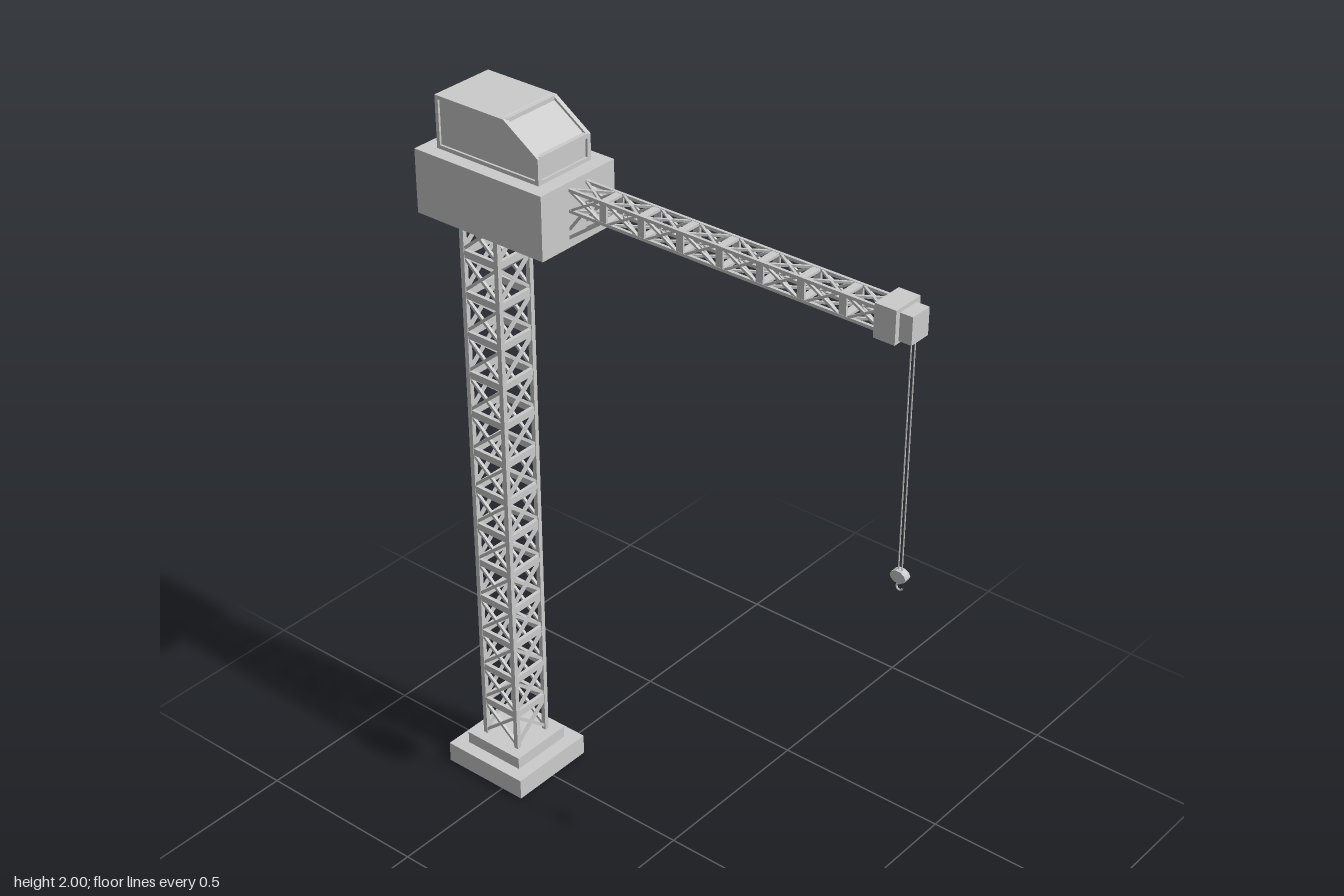
import * as THREE from 'three';
import { mergeGeometries } from 'three/addons/utils/BufferGeometryUtils.js';

const mat = new THREE.MeshStandardMaterial({ color: 0xcccccc, flatShading: true });
const V = (x, y, z) => new THREE.Vector3(x, y, z);

function add(parent, name, geo) {
  const m = new THREE.Mesh(geo, mat);
  m.name = name;
  parent.add(m);
  return m;
}

// box given by its minimum and maximum corners
function block(x0, x1, y0, y1, z0, z1) {
  return new THREE.BoxGeometry(x1 - x0, y1 - y0, z1 - z0)
    .translate((x0 + x1) / 2, (y0 + y1) / 2, (z0 + z1) / 2);
}

// square bar between two points
function bar(a, b, w, d = w) {
  const dir = b.clone().sub(a);
  const q = new THREE.Quaternion().setFromUnitVectors(V(0, 1, 0), dir.clone().normalize());
  return new THREE.BoxGeometry(w, dir.length(), d)
    .applyQuaternion(q).translate(...a.clone().add(b).multiplyScalar(0.5).toArray());
}

// four-sided truss standing on y = 0; hx and hz are its outer half widths
function lattice(name, length, bays, hx, hz, post, brace, band) {
  const g = new THREE.Group();
  g.name = name;
  const posts = [], bands = [], braces = [];
  const pitch = length / bays, cx = hx - post / 2, cz = hz - post / 2;
  for (const sx of [-1, 1]) for (const sz of [-1, 1])
    posts.push(bar(V(sx * cx, 0, sz * cz), V(sx * cx, length, sz * cz), post));
  for (let i = 0; i < bays; i++) {
    const y0 = i * pitch + band / 2, y1 = (i + 1) * pitch - band / 2;
    for (const s of [-1, 1]) {
      for (const t of [-1, 1]) {
        braces.push(bar(V(-t * cx, y0, s * cz), V(t * cx, y1, s * cz), brace));
        braces.push(bar(V(s * cx, y0, -t * cz), V(s * cx, y1, t * cz), brace));
      }
      if (i === 0) continue;
      const y = i * pitch, t = post * 0.4;
      bands.push(block(-cx, cx, y - band / 2, y + band / 2, s * cz - t, s * cz + t));
      bands.push(block(s * cx - t, s * cx + t, y - band / 2, y + band / 2, -cz, cz));
    }
  }
  add(g, 'cornerPosts', mergeGeometries(posts));
  add(g, 'crossBands', mergeGeometries(bands));
  add(g, 'diagonalBraces', mergeGeometries(braces));
  return g;
}

// side profile of [z, y] points extruded across x, centred
function profile(points, width, hole) {
  const toV2 = (p) => new THREE.Vector2(p[0], p[1]);
  const shape = new THREE.Shape(points.map(toV2));
  if (hole) shape.holes.push(new THREE.Path(hole.map(toV2)));
  return new THREE.ExtrudeGeometry(shape, { depth: width, bevelEnabled: false })
    .translate(0, 0, -width / 2).rotateY(-Math.PI / 2);
}

export function createModel() {
  const crane = new THREE.Group();
  crane.name = 'towerCrane';
  const tz = -0.563;

  // stepped footing
  add(crane, 'footing', block(-0.13, 0.13, 0, 0.06, tz - 0.132, tz + 0.132));
  add(crane, 'plinth', block(-0.093, 0.093, 0.06, 0.095, tz - 0.093, tz + 0.093));

  // mast
  const mast = lattice('mast', 1.6, 14, 0.063, 0.063, 0.013, 0.008, 0.02);
  mast.position.set(0, 0.093, tz);
  crane.add(mast);

  // machinery housing
  add(crane, 'housing', block(-0.13, 0.13, 1.692, 1.862, -0.695, -0.29));

  // cabin: core with recessed side panels and windscreen
  const cabin = new THREE.Group();
  cabin.name = 'cabin';
  crane.add(cabin);
  add(cabin, 'cabinCore', profile(
    [[-0.655, 1.86], [-0.336, 1.86], [-0.336, 1.927], [-0.438, 1.994], [-0.445, 2], [-0.655, 2]], 0.174));
  const outline = [[-0.655, 1.86], [-0.33, 1.86], [-0.33, 1.93], [-0.435, 2], [-0.655, 2]];
  const opening = [[-0.645, 1.872], [-0.645, 1.99], [-0.438, 1.99], [-0.341, 1.925], [-0.341, 1.872]];
  for (const s of [-1, 1])
    add(cabin, 'sideFrame', profile(outline, 0.012, opening)).position.x = s * 0.087;
  const rails = [[-0.336, 1.866], [-0.336, 1.927], [-0.437, 1.994]]
    .map(([z, y]) => bar(V(-0.085, y, z), V(0.085, y, z), 0.012));
  add(cabin, 'windscreenRails', mergeGeometries(rails));

  // jib reaching forward
  const jib = lattice('jib', 0.92, 8, 0.034, 0.031, 0.008, 0.006, 0.02);
  jib.rotation.x = Math.PI / 2;
  jib.position.set(0, 1.815, -0.3);
  crane.add(jib);

  // struts under the jib root
  const struts = [];
  for (const x of [-0.03, 0.03]) {
    struts.push(bar(V(x, 1.786, -0.195), V(x, 1.715, -0.295), 0.008));
    struts.push(bar(V(x, 1.786, -0.255), V(x, 1.735, -0.295), 0.006));
  }
  add(crane, 'jibStruts', mergeGeometries(struts));

  // jib head
  add(crane, 'jibHead', block(-0.045, 0.045, 1.774, 1.86, 0.597, 0.655));
  add(crane, 'jibNose', block(-0.031, 0.031, 1.78, 1.85, 0.655, 0.689));

  // hoist cables, hook block and hook
  const hz = 0.673;
  const cables = [-0.005, 0.005].map((d) =>
    new THREE.CylinderGeometry(0.002, 0.002, 0.62, 6).translate(0, 1.475, hz + d));
  add(crane, 'hoistCables', mergeGeometries(cables));
  const sheave = new THREE.CylinderGeometry(0.022, 0.022, 0.02, 10)
    .rotateZ(Math.PI / 2).scale(1, 0.75, 1).translate(0, 1.157, hz);
  add(crane, 'hookBlock', sheave);
  const hookPath = new THREE.CatmullRomCurve3([
    V(0, 1.145, hz), V(0, 1.135, hz), V(0, 1.129, hz - 0.008),
    V(0, 1.119, hz - 0.005), V(0, 1.118, hz + 0.005), V(0, 1.126, hz + 0.009)]);
  add(crane, 'hook', new THREE.TubeGeometry(hookPath, 16, 0.0025, 6));

  return crane;
}
